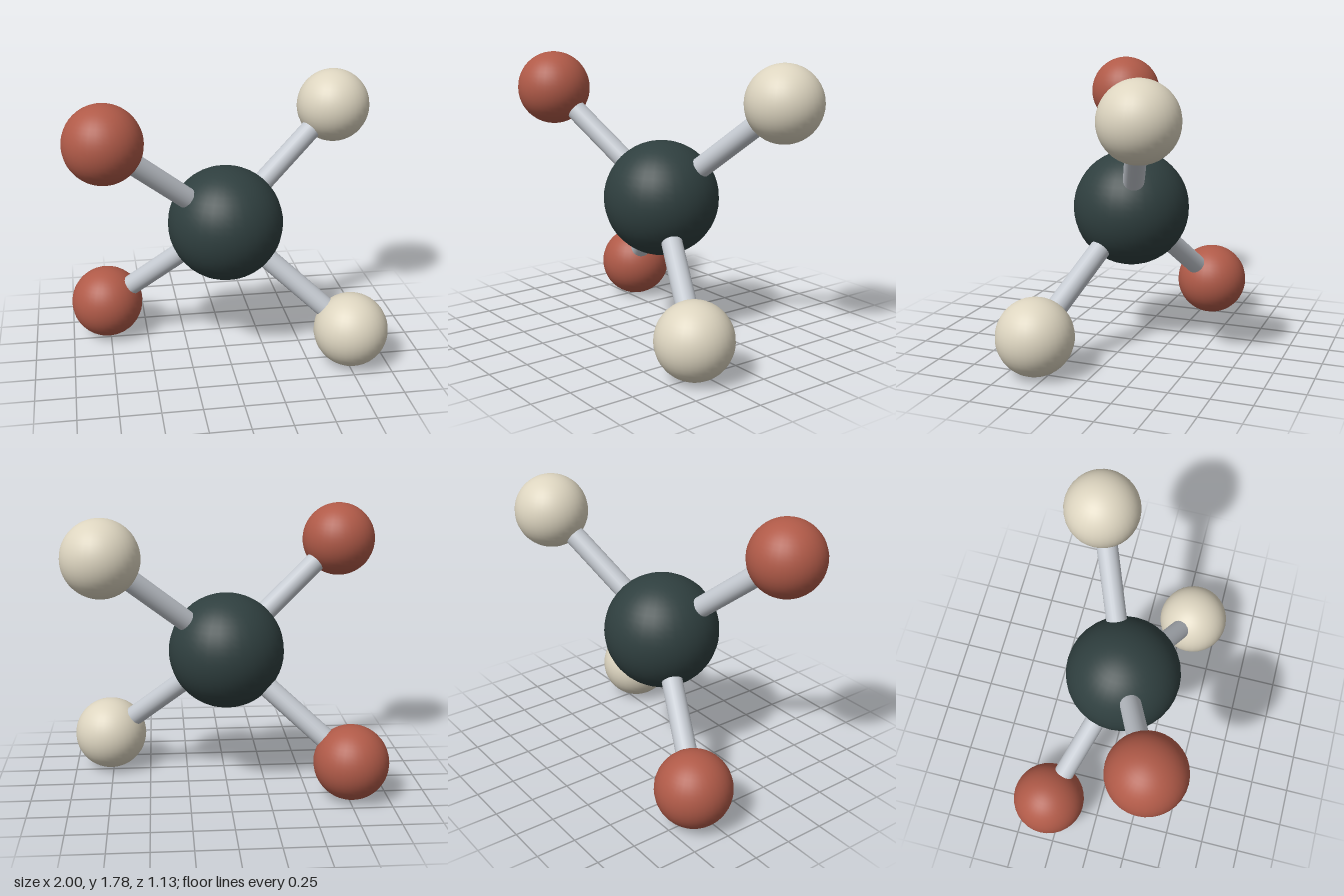
import * as THREE from 'three';

export function createModel() {
  const model = new THREE.Group();
  model.name = 'moleculeModel';

  const material = (name, color) => {
    const m = new THREE.MeshStandardMaterial({ color });
    m.name = name;
    return m;
  };
  const darkSlate = material('darkSlate', 0x2f3f3f);
  const brickRed = material('brickRed', 0xb05a48);
  const cream = material('cream', 0xddd5c0);
  const silver = material('silver', 0xc4c9d0);

  const center = new THREE.Vector3(0, 0.892, 0);
  const up = new THREE.Vector3(0, 1, 0);

  function addBall(name, radius, mat, position) {
    const ball = new THREE.Mesh(new THREE.SphereGeometry(radius, 32, 24), mat);
    ball.name = name;
    ball.position.copy(position);
    model.add(ball);
  }

  // Rod running between two ball centres
  function addRod(name, from, to) {
    const span = to.clone().sub(from);
    const rod = new THREE.Mesh(new THREE.CylinderGeometry(0.066, 0.066, span.length(), 24), silver);
    rod.name = name;
    rod.position.copy(from).addScaledVector(span, 0.5);
    rod.quaternion.setFromUnitVectors(up, span.normalize());
    model.add(rod);
  }

  addBall('centerBall', 0.367, darkSlate, center);

  // Four outer balls in a flattened tetrahedral arrangement
  for (const sx of [-1, 1]) {
    for (const sy of [-1, 1]) {
      const label = (sy > 0 ? 'upper' : 'lower') + (sx > 0 ? 'Left' : 'Right');
      const end = new THREE.Vector3(sx * 0.763, sy * 0.655, -sx * sy * 0.326).add(center);
      addRod(label + 'Rod', center, end);
      addBall(label + 'Ball', 0.237, sx > 0 ? cream : brickRed, end);
    }
  }

  return model;
}
